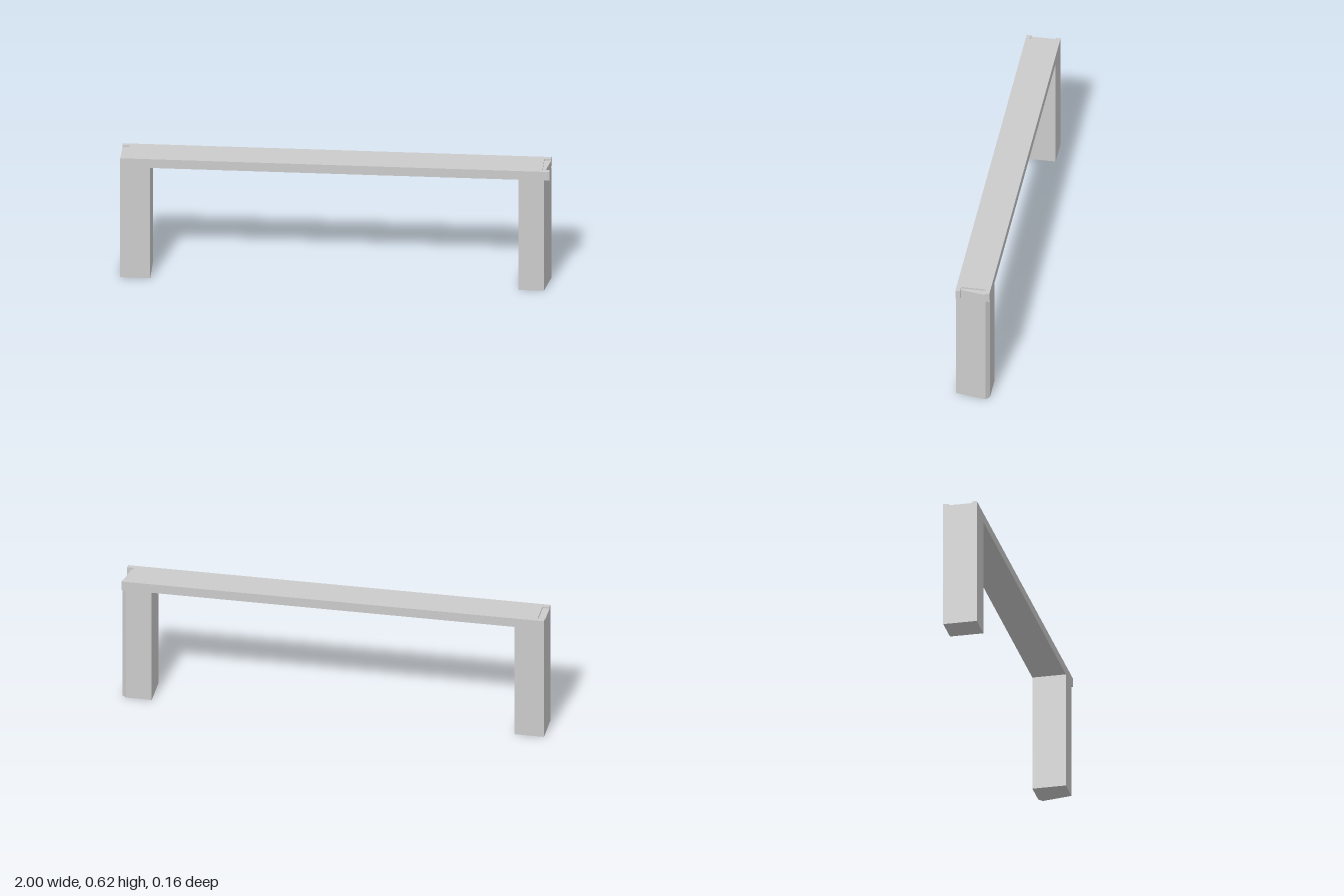
import * as THREE from 'three';

const material = new THREE.MeshStandardMaterial({ color: 0xcccccc, flatShading: true });

// Raises a plan outline of [x, z] corners from one height to another.
function prism(name, plan, bottom, top) {
  const shape = new THREE.Shape(plan.map(([x, z]) => new THREE.Vector2(x, -z)));
  const geometry = new THREE.ExtrudeGeometry(shape, { depth: top - bottom, bevelEnabled: false });
  geometry.rotateX(-Math.PI / 2).translate(0, bottom, 0);
  const mesh = new THREE.Mesh(geometry, material);
  mesh.name = name;
  return mesh;
}

export function createModel() {
  const model = new THREE.Group();
  model.name = 'postAndBeamFrame';
  const depth = 0.08, notch = 0.058, notchX = 0.967;
  const beamBottom = 0.57, beamTop = 0.615, tenonTop = 0.607;

  // Beam with an open notch in each end
  model.add(prism('beam', [
    [-1, depth], [1, depth], [1, notch], [notchX, notch],
    [notchX, -notch], [1, -notch], [1, -depth], [-1, -depth],
    [-1, -notch], [-notchX, -notch], [-notchX, notch], [-1, notch],
  ], beamBottom, beamTop));

  // Square right leg and the tenon that fills its notch
  model.add(prism('rightLeg', [
    [-1, depth], [-0.86, depth], [-0.86, -depth], [-1, -depth],
  ], 0, beamBottom));
  model.add(prism('rightTenon', [
    [-1, notch], [-notchX, notch], [-notchX, -notch], [-1, -notch],
  ], beamBottom, tenonTop));

  // Left leg with a slanted outer face and a chamfered back corner
  model.add(prism('leftLeg', [
    [0.857, depth], [0.975, depth], [1, -0.062], [0.978, -depth], [0.857, -depth],
  ], 0, beamBottom));
  model.add(prism('leftTenon', [
    [notchX, notch], [0.979, notch], [0.999, -notch], [notchX, -notch],
  ], beamBottom, tenonTop));

  return model;
}
